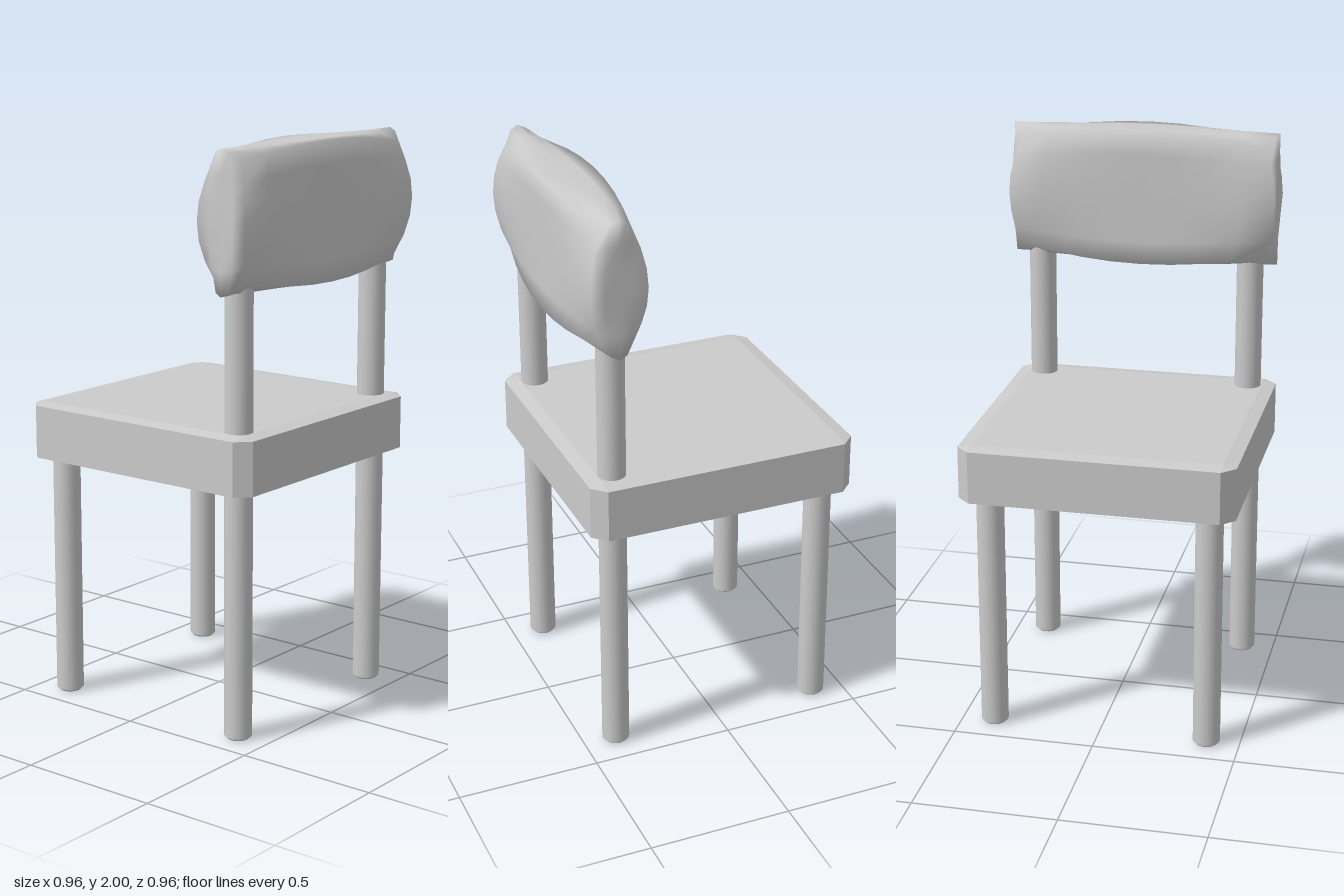
import * as THREE from 'three';
import { mergeVertices } from 'three/addons/utils/BufferGeometryUtils.js';
import { ConvexGeometry } from 'three/addons/geometries/ConvexGeometry.js';

const material = new THREE.MeshStandardMaterial({ color: 0xcccccc });

function add(group, name, geometry, x = 0, y = 0, z = 0) {
  const mesh = new THREE.Mesh(geometry, material);
  mesh.name = name;
  mesh.position.set(x, y, z);
  group.add(mesh);
}

// Slab with cut corners and a shallow bevel around its top and bottom faces
function seatGeometry() {
  const outer = 0.48, inner = 0.433, points = [];
  for (const sx of [-1, 1]) for (const sz of [-1, 1]) for (const sy of [-1, 1]) {
    points.push(
      new THREE.Vector3(sx * inner, sy * 0.102, sz * inner),
      new THREE.Vector3(sx * outer, sy * 0.093, sz * inner),
      new THREE.Vector3(sx * inner, sy * 0.093, sz * outer));
  }
  return new ConvexGeometry(points);
}

// Round rod standing on y = 0, with slightly eased ends
function rodGeometry(height) {
  const r = 0.048, e = 0.01;
  const profile = [[0, 0], [r - e, 0], [r, e], [r, height - e], [r - e, height], [0, height]];
  return new THREE.LatheGeometry(profile.map(([x, y]) => new THREE.Vector2(x, y)), 24);
}

// Pillow block: every edge bows inward toward the eight corners
function backrestGeometry() {
  const hx = 0.097, hy = 0.2375, hz = 0.48, pull = 0.042;
  let geometry = new THREE.BoxGeometry(2, 2, 2, 4, 6, 8);
  geometry.deleteAttribute('normal');
  geometry.deleteAttribute('uv');
  geometry = mergeVertices(geometry);
  const p = geometry.attributes.position;
  for (let i = 0; i < p.count; i++) {
    const u = p.getX(i), v = p.getY(i), w = p.getZ(i);
    p.setXYZ(i,
      u * (hx - pull * v * v * w * w),
      v * (hy - pull * u * u * w * w),
      w * (hz - pull * u * u * v * v));
  }
  geometry.computeVertexNormals();
  return geometry;
}

export function createModel() {
  const chair = new THREE.Group();
  chair.name = 'chair';
  const legOffset = 0.383;

  add(chair, 'seat', seatGeometry(), 0, 0.963, 0);
  for (const side of [-1, 1]) {
    add(chair, 'shortLeg', rodGeometry(0.9), -legOffset, 0, side * legOffset);
    // The legs under the backrest run on upward as its posts
    add(chair, 'longLegAndPost', rodGeometry(1.62), legOffset, 0, side * legOffset);
  }
  add(chair, 'backrest', backrestGeometry(), legOffset, 1.7625, 0);
  return chair;
}
